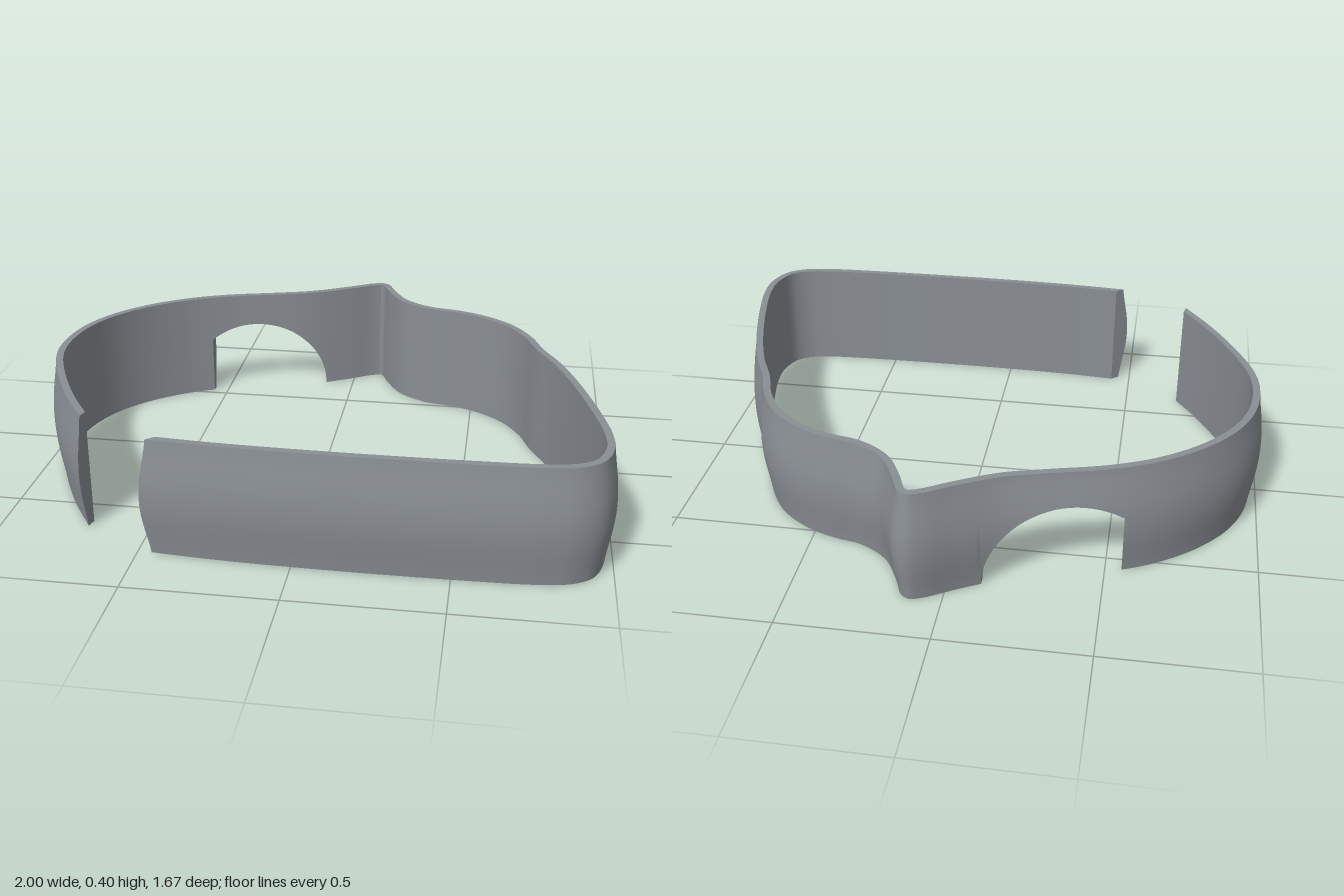
import * as THREE from 'three';
import { toCreasedNormals } from 'three/addons/utils/BufferGeometryUtils.js';

const HEIGHT = 0.4, THICK = 0.048, BULGE = 0.023;
const NOTCH = { x0: -0.555, x1: -0.11, cx: -0.387, r: 0.277 };

// Outer line of the band seen from above (x, z), from one open end to the other
const OUTLINE = [
  [-0.715, 0.68], [-0.83, 0.5], [-0.932, 0.295], [-0.984, 0.15], [-1, 0.03], [-0.983, -0.134],
  [-0.92, -0.284], [-0.81, -0.418], [-0.667, -0.526], [-0.506, -0.6], [-0.319, -0.653],
  [-0.185, -0.694], [-0.05, -0.764], [0.05, -0.824], [0.104, -0.841], [0.149, -0.818],
  [0.19, -0.73], [0.244, -0.637], [0.335, -0.575], [0.431, -0.552], [0.538, -0.509],
  [0.656, -0.418], [0.736, -0.295], [0.783, -0.166], [0.841, -0.043], [0.902, 0.134],
  [0.967, 0.386], [0.994, 0.536], [0.994, 0.643], [0.955, 0.745], [0.886, 0.797],
  [0.779, 0.82], [0.565, 0.83], [0.083, 0.832], [-0.238, 0.823], [-0.479, 0.806],
];

const smooth = THREE.MathUtils.smoothstep;

function createBand() {
  const path = new THREE.CatmullRomCurve3(OUTLINE.map(([x, z]) => new THREE.Vector3(x, 0, z)));
  path.arcLengthDivisions = 2000;
  const length = path.getLength();

  // Position along the back wall where the outline crosses a given x
  const findU = (x) => {
    let lo = 0.15, hi = 0.38;
    for (let i = 0; i < 40; i++) {
      const mid = (lo + hi) / 2;
      if (path.getPointAt(mid).x < x) lo = mid; else hi = mid;
    }
    return lo;
  };

  // Stations: left side, arched notch, remaining run
  const uA = findU(NOTCH.x0), uB = findU(NOTCH.x1);
  const stations = [];
  const addRun = (from, to, steps, notched) => {
    for (let i = 0; i <= steps; i++) {
      const t = i / steps;
      const e = notched ? Math.sin(t * Math.PI / 2) : t;
      stations.push({ u: from + (to - from) * e, notched });
    }
  };
  addRun(0, uA, 60, false);
  addRun(uA, uB, 48, true);
  addRun(uB, 1, 220, false);

  const OUTER = 14, N = OUTER + 3;
  const positions = [], index = [];

  for (const { u, notched } of stations) {
    const p = path.getPointAt(u), t = path.getTangentAt(u);
    const nx = -t.z, nz = t.x;
    const bottom = notched ? Math.sqrt(Math.max(0, NOTCH.r ** 2 - (p.x - NOTCH.cx) ** 2)) : 0;
    // Slanted cuts at the open ends, and front-to-back cuts at the notch
    let slant = Math.max(0, 1 - u * length / 0.25) - Math.max(0, 1 - (1 - u) * length / 0.25);
    if (u > 0.15 && u < 0.39) {
      slant -= nx / Math.max(t.x, 0.3) * smooth(p.x, -0.75, -0.6) * (1 - smooth(p.x, -0.1, 0));
    }
    const put = (depth, y) => positions.push(
      p.x + depth * (nx + slant * t.x), y, p.z + depth * (nz + slant * t.z));

    // Bulging outer face going up, then the flat inner face going down
    for (let j = 0; j <= OUTER; j++) {
      const y = bottom + (HEIGHT - bottom) * j / OUTER;
      const swell = Math.max(0, Math.sin(Math.PI * y / HEIGHT)) ** 1.3;
      put(BULGE * (1 - swell), y);
    }
    put(THICK, HEIGHT);
    put(THICK, bottom);
  }

  for (let i = 0; i < stations.length - 1; i++) {
    for (let j = 0; j < N; j++) {
      const k = (j + 1) % N;
      const a = i * N + j, b = i * N + k, c = a + N, d = b + N;
      index.push(a, b, c, b, d, c);
    }
  }
  // Caps on the two open ends
  const last = (stations.length - 1) * N;
  for (let j = 0; j < N - 2; j++) {
    index.push(N - 1, j + 1, j);
    index.push(last + N - 1, last + j, last + j + 1);
  }

  const geometry = new THREE.BufferGeometry();
  geometry.setAttribute('position', new THREE.Float32BufferAttribute(positions, 3));
  geometry.setIndex(index);
  return toCreasedNormals(geometry, 0.6);
}

export function createModel() {
  const grey = new THREE.MeshStandardMaterial({ color: 0x8a8f94 });
  grey.name = 'grey';
  const band = new THREE.Mesh(createBand(), grey);
  band.name = 'band';
  const model = new THREE.Group();
  model.name = 'openBand';
  model.add(band);
  return model;
}
